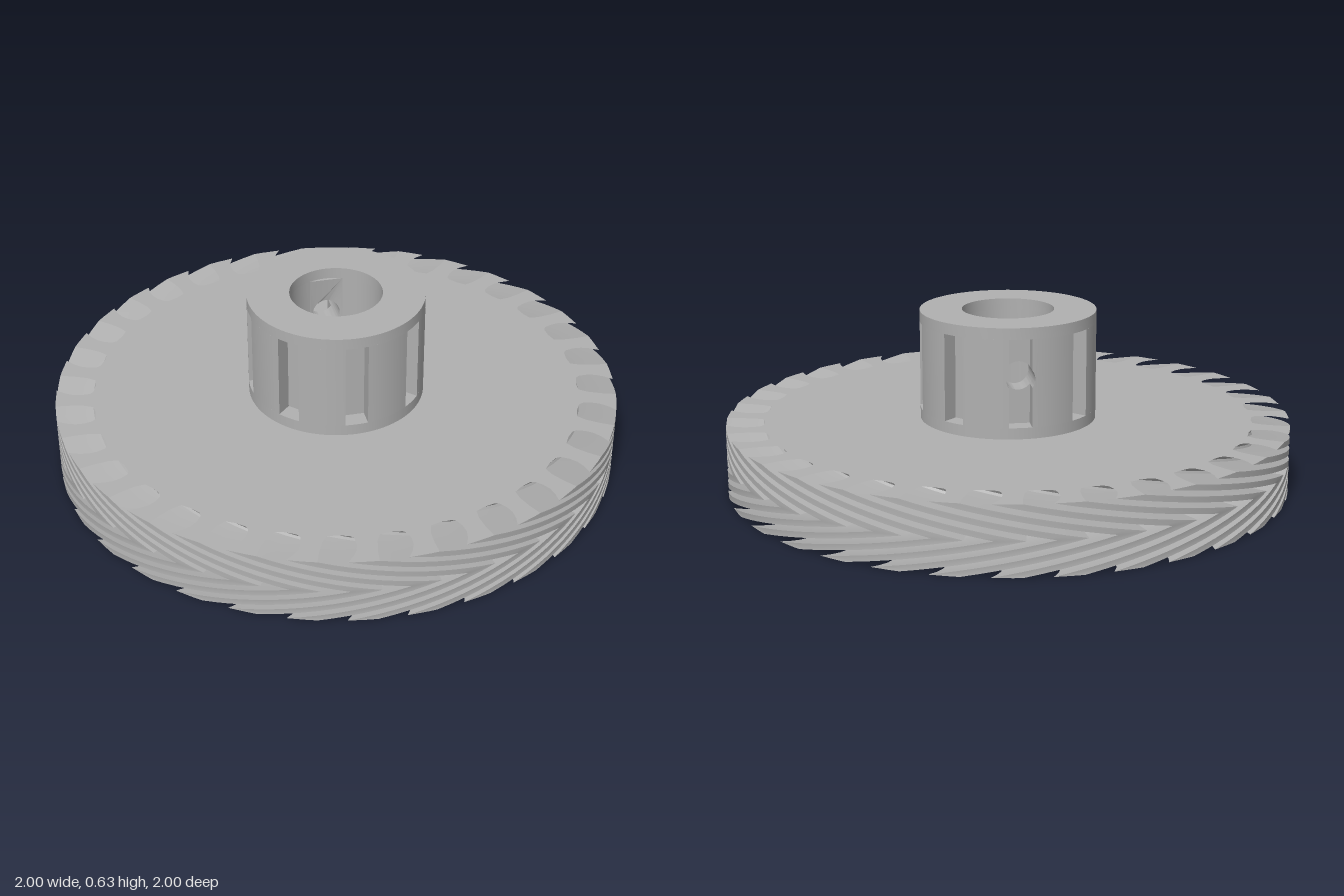
import * as THREE from 'three';
import { mergeGeometries, toCreasedNormals } from 'three/addons/utils/BufferGeometryUtils.js';

const TEETH = 32, WHEEL_H = 0.24, TWIST = 0.6;
const HUB_R = 0.312, BORE_R = 0.163, HUB_TOP = 0.63;
const SLOT_LOW = 0.28, SLOT_HIGH = 0.59, SLOT_HALF = 0.04, SLOT_FLOOR = 0.25;
const BACK_HALF = 0.06, SCREW_R = 0.05, SCREW_Y = 0.45;

// One tooth gap and the tip beside it: angle offset, radius
const GAP = [[0, 1], [-0.02, 0.97], [-0.033, 0.94], [-0.036, 0.91], [-0.03, 0.88], [-0.015, 0.868],
  [0.03, 0.863], [0.07, 0.868], [0.085, 0.9], [0.093, 0.95], [0.095, 1], [0.125, 1]];

const polar = (r, a) => new THREE.Vector2(r * Math.cos(a), r * Math.sin(a));

function arc(r, from, to, steps) {
  return Array.from({ length: steps + 1 }, (_, i) => polar(r, from + (to - from) * i / steps));
}

function gearProfile() {
  const pts = [];
  for (let k = 0; k < TEETH; k++) {
    for (const [da, r] of GAP) pts.push(polar(r, -Math.PI / 2 + k * 2 * Math.PI / TEETH + da));
  }
  return pts;
}

// Tooth faces: the profile swept upwards, twisting one way and back again
function herringboneTeeth(profile) {
  const steps = 24, n = profile.length, pos = [], index = [];
  for (let j = 0; j <= steps; j++) {
    const turn = TWIST * (Math.abs(2 * j / steps - 1) - 1);
    for (const p of profile) {
      const q = p.clone().rotateAround(new THREE.Vector2(), turn);
      pos.push(q.x, WHEEL_H * j / steps, q.y);
    }
  }
  for (let j = 0; j < steps; j++) {
    for (let i = 0; i < n; i++) {
      const a = j * n + i, b = j * n + (i + 1) % n;
      index.push(a, a + n, b, b, a + n, b + n);
    }
  }
  const g = new THREE.BufferGeometry();
  g.setAttribute('position', new THREE.Float32BufferAttribute(pos, 3));
  g.setIndex(index);
  g.computeVertexNormals();
  return toCreasedNormals(g, 0.6);
}

// Flat wheel face, open where the hub passes through
function wheelFace(profile, up) {
  const shape = new THREE.Shape(profile.map(p => new THREE.Vector2(p.x, up ? -p.y : p.y)));
  shape.holes.push(new THREE.Path(arc(HUB_R - 0.002, 0, 2 * Math.PI, 96).slice(0, -1)));
  const g = new THREE.ShapeGeometry(shape).rotateX(up ? -Math.PI / 2 : Math.PI / 2);
  return g.translate(0, up ? WHEEL_H : 0, 0);
}

function extrudeUp(shape, low, high) {
  const g = new THREE.ExtrudeGeometry(shape, { depth: high - low, bevelEnabled: false });
  return toCreasedNormals(g.rotateX(-Math.PI / 2).translate(0, low, 0), 0.5);
}

function ringLayer(low, high) {
  const shape = new THREE.Shape(arc(HUB_R, 0, 2 * Math.PI, 96).slice(0, -1));
  shape.holes.push(new THREE.Path(arc(BORE_R, 0, 2 * Math.PI, 96).slice(0, -1)));
  return extrudeUp(shape, low, high);
}

// Middle of the hub: seven slots, with the back sector left open
function slottedLayer() {
  const back = Math.PI / 2, half = Math.asin(SLOT_HALF / HUB_R);
  const outer = Math.asin(BACK_HALF / HUB_R), inner = Math.asin(BACK_HALF / BORE_R);
  const pts = [];
  let from = back + outer;
  for (let k = 1; k <= 7; k++) {
    const mid = back + k * Math.PI / 4;
    pts.push(...arc(HUB_R, from, mid - half, 10));
    for (const s of [-1, 1]) {
      pts.push(new THREE.Vector2(SLOT_FLOOR, s * SLOT_HALF).rotateAround(new THREE.Vector2(), mid));
    }
    from = mid + half;
  }
  pts.push(...arc(HUB_R, from, back + 2 * Math.PI - outer, 10));
  pts.push(...arc(BORE_R, back + 2 * Math.PI - inner, back + inner, 80));
  return extrudeUp(new THREE.Shape(pts), SLOT_LOW, SLOT_HIGH);
}

// Extrudes towards the back; the given side is bent onto a cylinder of radius r
function backPiece(shape, zOuter, zInner, r, bendOuter) {
  const g = new THREE.ExtrudeGeometry(shape, { depth: zOuter - zInner, bevelEnabled: false, curveSegments: 32 });
  g.translate(0, 0, -zOuter);
  const p = g.attributes.position, mid = -(zOuter + zInner) / 2;
  for (let i = 0; i < p.count; i++) {
    if ((p.getZ(i) < mid) === bendOuter) p.setZ(i, -Math.sqrt(r * r - p.getX(i) ** 2));
  }
  return toCreasedNormals(g, 0.5);
}

// Slot floor pierced by the screw hole
function screwWall() {
  const shape = new THREE.Shape([[-1, SLOT_LOW], [1, SLOT_LOW], [1, SLOT_HIGH], [-1, SLOT_HIGH]]
    .map(([s, y]) => new THREE.Vector2(s * BACK_HALF, y)));
  shape.holes.push(new THREE.Path().absarc(0, SCREW_Y, SCREW_R, 0, 2 * Math.PI, true));
  return backPiece(shape, SLOT_FLOOR, BORE_R, BORE_R, false);
}

// Slot side, notched where the screw hole is wider than the slot
function slotCheek(side) {
  const a = Math.acos(SLOT_HALF / SCREW_R);
  const pts = [new THREE.Vector2(SLOT_HALF, SLOT_LOW), new THREE.Vector2(BACK_HALF, SLOT_LOW),
    new THREE.Vector2(BACK_HALF, SLOT_HIGH), new THREE.Vector2(SLOT_HALF, SLOT_HIGH),
    ...arc(SCREW_R, a, -a, 10).map(p => p.add(new THREE.Vector2(0, SCREW_Y)))];
  pts.forEach(p => { p.x *= side; });
  return backPiece(new THREE.Shape(pts), HUB_R, SLOT_FLOOR, HUB_R, true);
}

export function createModel() {
  const grey = new THREE.MeshStandardMaterial({ color: 0xb0b0b0 });
  grey.name = 'plain grey';
  const model = new THREE.Group();
  model.name = 'herringboneGear';
  const add = (name, geometry) => {
    const mesh = new THREE.Mesh(geometry, grey);
    mesh.name = name;
    model.add(mesh);
  };

  const profile = gearProfile();
  add('teeth', herringboneTeeth(profile));
  add('wheelTop', wheelFace(profile, true));
  add('wheelBottom', wheelFace(profile, false));
  add('hubBase', ringLayer(0, SLOT_LOW));
  add('slottedHub', slottedLayer());
  add('hubRim', ringLayer(SLOT_HIGH, HUB_TOP));
  add('screwHole', mergeGeometries([screwWall(), slotCheek(1), slotCheek(-1)]));
  return model;
}
